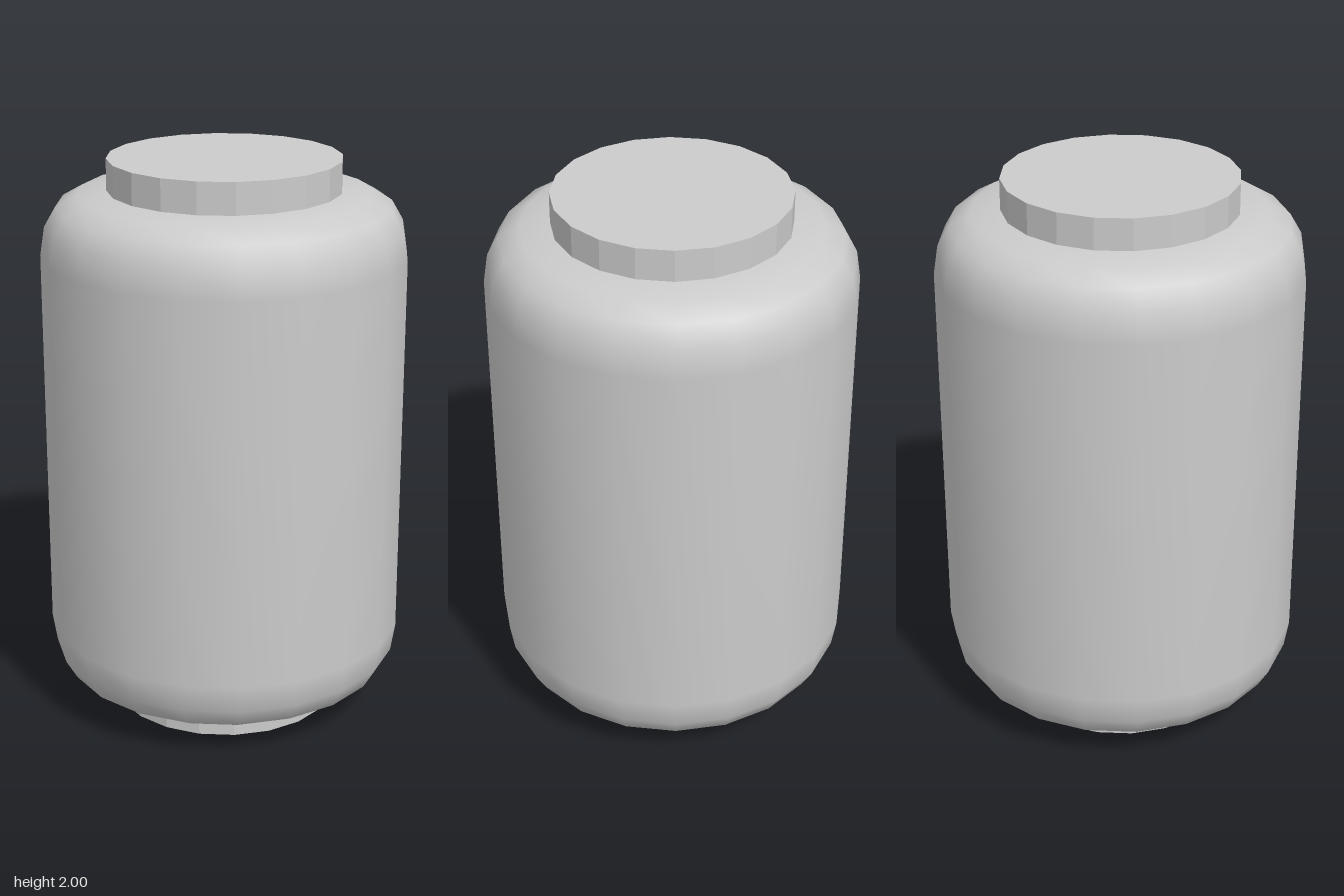
import * as THREE from 'three';

const SIDES = 20;

export function createModel() {
  const model = new THREE.Group();
  const smooth = new THREE.MeshStandardMaterial({ color: 0xcccccc });
  const faceted = new THREE.MeshStandardMaterial({ color: 0xcccccc, flatShading: true });

  // rounded shoulder as [radius, height], mirrored for the upper end
  const shoulder = [[0.4, 0.085], [0.508, 0.097], [0.58, 0.138], [0.62, 0.207], [0.636, 0.308]];
  const lower = shoulder.map(([r, y]) => new THREE.Vector2(r, y));
  const upper = shoulder.map(([r, y]) => new THREE.Vector2(r, 1.975 - y)).reverse();
  const body = new THREE.Mesh(new THREE.LatheGeometry([...lower, ...upper], SIDES), smooth);
  body.name = 'body';
  model.add(body);

  // faceted discs closing each end
  const addDisc = (name, bottom, top) => {
    const disc = new THREE.Mesh(new THREE.CylinderGeometry(0.405, 0.405, top - bottom, SIDES), faceted);
    disc.position.y = (top + bottom) / 2;
    disc.name = name;
    model.add(disc);
  };
  addDisc('base', 0, 0.09);
  addDisc('lid', 1.885, 2);

  return model;
}
